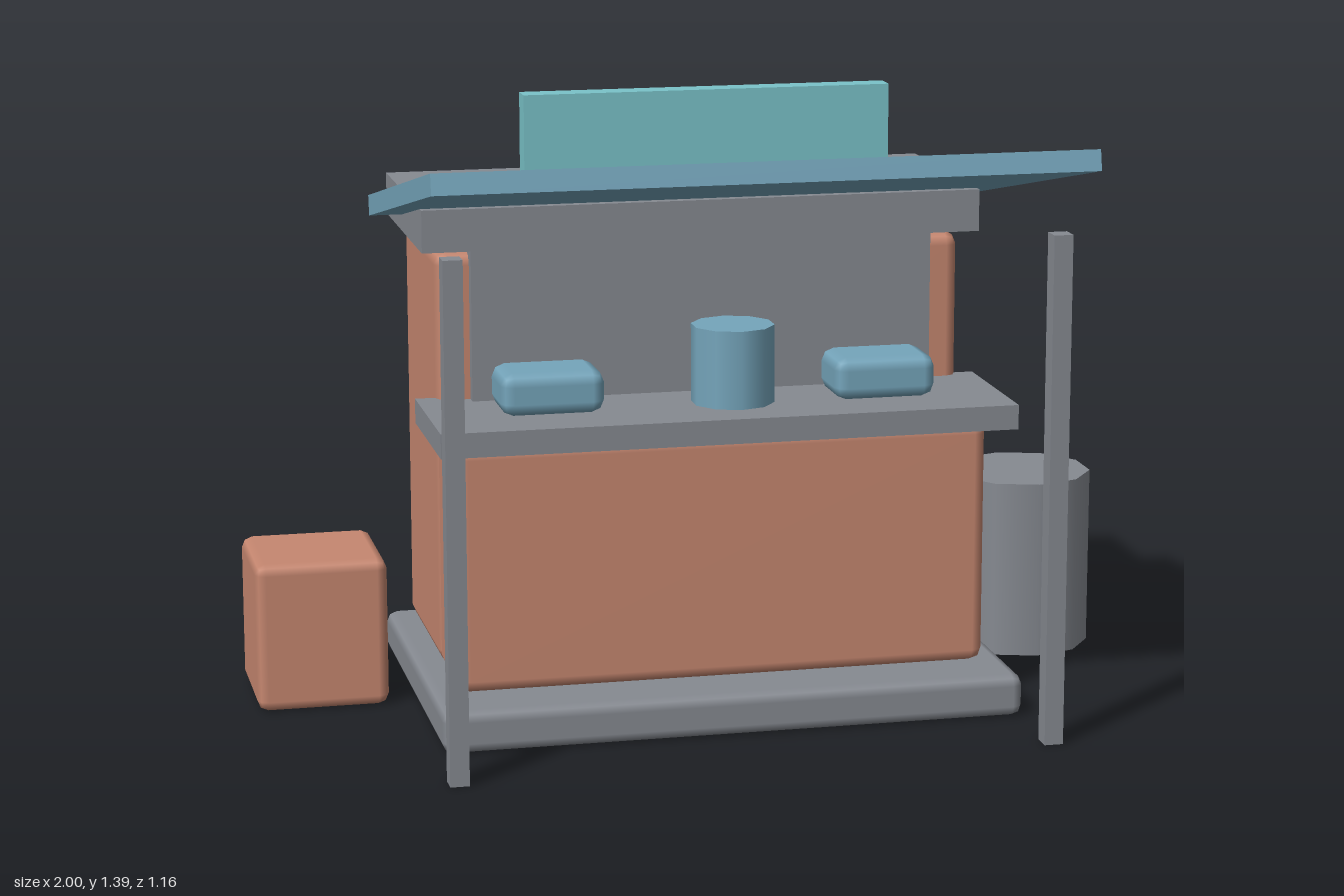
import * as THREE from 'three';
import { RoundedBoxGeometry } from 'three/addons/geometries/RoundedBoxGeometry.js';

export function createModel() {
  const group = new THREE.Group();
  group.name = 'marketStall';

  const material = (name, color) => {
    const m = new THREE.MeshStandardMaterial({ color });
    m.name = name;
    return m;
  };
  const clay = material('clay', 0xc68770);
  const grey = material('grey', 0x868a91);
  const blue = material('blue', 0x75a5bb);
  const teal = material('teal', 0x7ac3c9);

  const add = (name, geometry, mat, x, y, z) => {
    const mesh = new THREE.Mesh(geometry, mat);
    mesh.name = name;
    mesh.position.set(x, y, z);
    group.add(mesh);
    return mesh;
  };
  // Box given by its limits on each axis; a bevel rounds its edges
  const box = (name, mat, [x0, x1], [y0, y1], [z0, z1], bevel = 0) => {
    const size = [x1 - x0, y1 - y0, z1 - z0];
    const geometry = bevel
      ? new RoundedBoxGeometry(...size, 1, bevel)
      : new THREE.BoxGeometry(...size);
    return add(name, geometry, mat, (x0 + x1) / 2, (y0 + y1) / 2, (z0 + z1) / 2);
  };

  // Plinth and the two bodies
  box('plinth', grey, [-0.645, 0.665], [0, 0.095], [-0.58, 0.285], 0.024);
  box('backCabinet', clay, [-0.59, 0.61], [0.095, 1.035], [-0.54, -0.09], 0.028);
  box('counterBody', clay, [-0.59, 0.61], [0.095, 0.65], [-0.105, 0.155], 0.028);

  // Counter, rear panel and cap
  box('counterTop', grey, [-0.635, 0.655], [0.65, 0.705], [-0.12, 0.24]);
  box('backPanel', grey, [-0.515, 0.535], [0.7, 1.046], [-0.118, -0.063]);
  box('backCap', grey, [-0.625, 0.645], [1.045, 1.14], [-0.58, -0.05]);

  // Sloping awning with its sign board and front posts
  const awning = add('awning', new THREE.BoxGeometry(1.42, 0.046, 0.935), blue, 0.01, 1.204, 0.118);
  awning.rotation.x = -0.21;
  box('signBoard', teal, [-0.4, 0.423], [1.205, 1.39], [-0.08, -0.025]);
  for (const [name, x] of [['rightPost', -0.645], ['leftPost', 0.667]]) {
    box(name, grey, [x - 0.021, x + 0.021], [0, 1.13], [0.452, 0.497]);
  }

  // Goods on the counter
  box('rightParcel', blue, [-0.48, -0.25], [0.705, 0.8], [-0.04, 0.125], 0.028);
  box('leftParcel', blue, [0.27, 0.5], [0.705, 0.8], [-0.04, 0.125], 0.028);
  add('jar', new THREE.CylinderGeometry(0.093, 0.093, 0.175, 10), blue, 0.048, 0.7925, 0.06);

  // Crate and barrel beside the stall
  box('crate', clay, [-1, -0.703], [0, 0.34], [-0.415, -0.115], 0.024);
  add('barrel', new THREE.CylinderGeometry(0.168, 0.168, 0.415, 10), grey, 0.84, 0.2075, -0.337);

  return group;
}
